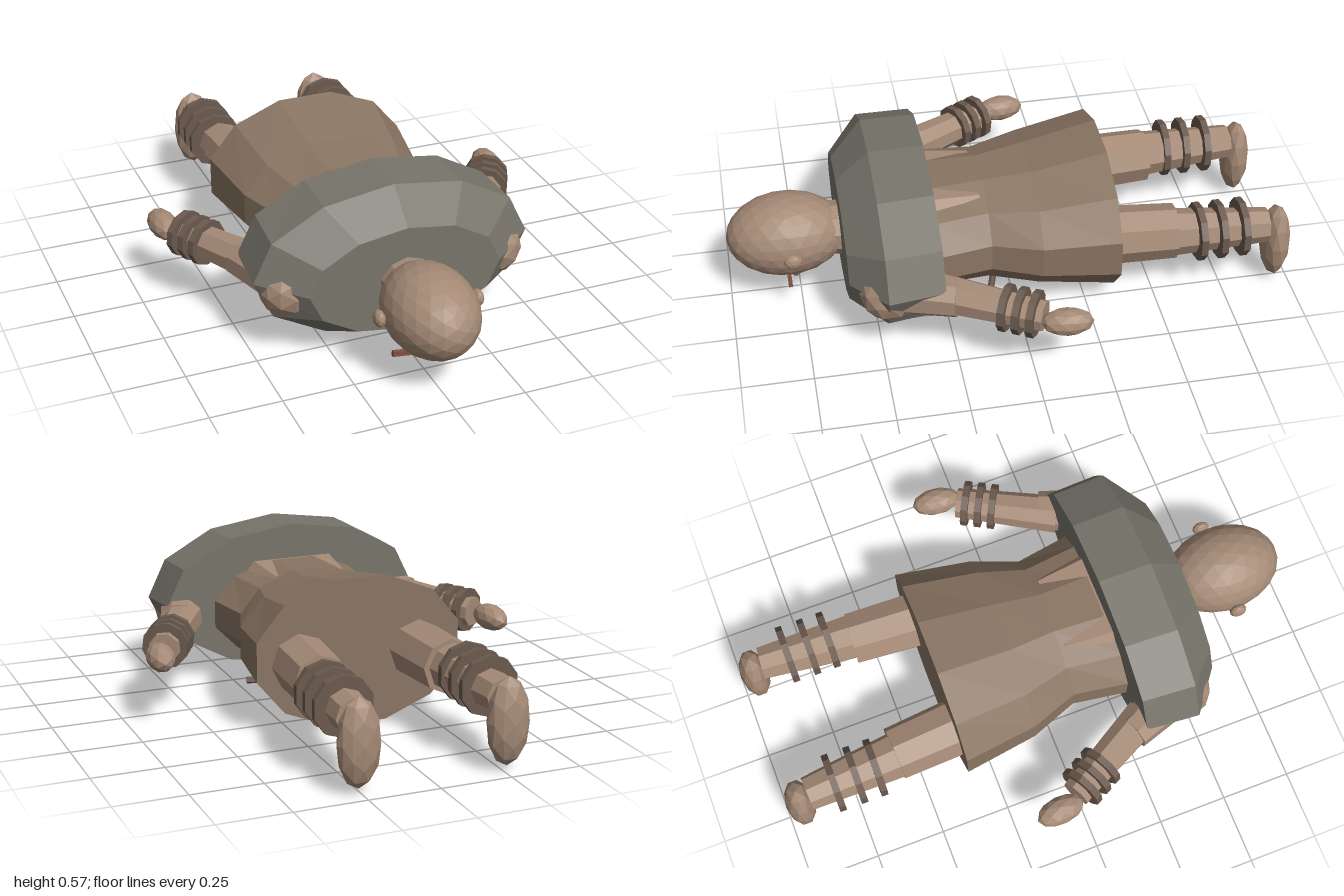
import * as THREE from 'three';

const mat = (color) => new THREE.MeshStandardMaterial({ color, flatShading: true });
const SKIN = mat(0xa58a76), TUNIC = mat(0x8a7563), SHAWL = mat(0x77746a);
const WRAP = mat(0x6b5a4e), FACE = mat(0x80503f);

function add(parent, name, geometry, material, position = [0, 0, 0]) {
  const mesh = new THREE.Mesh(geometry, material);
  mesh.name = name;
  mesh.position.set(...position);
  parent.add(mesh);
  return mesh;
}

// Faceted ellipsoid
function blob(parent, name, material, position, radii, detail = 1) {
  const mesh = add(parent, name, new THREE.IcosahedronGeometry(1, detail), material, position);
  mesh.scale.set(...radii);
  return mesh;
}

// Tapered cylinder between two points
function limb(parent, name, material, from, to, r0, r1, sides = 8) {
  const a = new THREE.Vector3(...from), b = new THREE.Vector3(...to);
  const dir = b.clone().sub(a);
  const geometry = new THREE.CylinderGeometry(r1, r0, dir.length(), sides);
  const mesh = add(parent, name, geometry, material, a.clone().add(b).multiplyScalar(0.5).toArray());
  mesh.quaternion.setFromUnitVectors(new THREE.Vector3(0, 1, 0), dir.normalize());
  return mesh;
}

// Closed loft through elliptical sections [z, centreY, rx, ry], in rising z
function loft(sections, sides, phase = 0) {
  const pos = [], index = [];
  for (const [z, cy, rx, ry] of sections) {
    for (let j = 0; j < sides; j++) {
      const t = phase + (j / sides) * Math.PI * 2;
      pos.push(rx * Math.cos(t), cy + ry * Math.sin(t), z);
    }
  }
  const last = sections.length - 1, low = pos.length / 3, high = low + 1;
  pos.push(0, sections[0][1], sections[0][0], 0, sections[last][1], sections[last][0]);
  for (let j = 0; j < sides; j++) {
    const k = (j + 1) % sides;
    for (let i = 0; i < last; i++) {
      const a = i * sides + j, b = i * sides + k;
      index.push(a, b, b + sides, a, b + sides, a + sides);
    }
    index.push(low, k, j, high, last * sides + j, last * sides + k);
  }
  const geometry = new THREE.BufferGeometry();
  geometry.setAttribute('position', new THREE.Float32BufferAttribute(pos, 3));
  geometry.setIndex(index);
  geometry.computeVertexNormals();
  return geometry;
}

function buildArm(side) {
  const arm = new THREE.Group();
  arm.name = side > 0 ? 'leftArm' : 'rightArm';
  const at = (x, y, z) => [side * x, y, z];
  blob(arm, 'shoulder', SKIN, at(0.38, 0.245, 0.47), [0.1, 0.1, 0.1]);
  limb(arm, 'upperArm', SKIN, at(0.37, 0.25, 0.47), at(0.46, 0.25, 0.24), 0.085, 0.07);
  limb(arm, 'forearm', SKIN, at(0.42, 0.25, 0.3), at(0.6, 0.245, -0.03), 0.07, 0.055);
  // Wrapped wrist bands
  const start = new THREE.Vector3(...at(0.53, 0.247, 0.1));
  const dir = new THREE.Vector3(side * 0.18, 0, -0.33).normalize();
  for (let i = 0; i < 3; i++) {
    const p = start.clone().addScaledVector(dir, i * 0.05);
    const q = p.clone().addScaledVector(dir, 0.025);
    limb(arm, 'wristBand', WRAP, p.toArray(), q.toArray(), 0.083, 0.083, 10);
  }
  const hand = blob(arm, 'hand', SKIN, at(0.635, 0.24, -0.1), [0.05, 0.048, 0.09]);
  hand.rotation.y = -side * 0.1;
  return arm;
}

function buildLeg(side) {
  const leg = new THREE.Group();
  leg.name = side > 0 ? 'leftLeg' : 'rightLeg';
  const at = (x, y, z) => [side * x, y, z];
  limb(leg, 'thigh', SKIN, at(0.215, 0.245, -0.3), at(0.232, 0.243, -0.575), 0.105, 0.098);
  limb(leg, 'shin', SKIN, at(0.238, 0.243, -0.55), at(0.26, 0.243, -0.91), 0.086, 0.062);
  for (const z of [-0.655, -0.73, -0.81]) {
    limb(leg, 'legBand', WRAP, at(0.257, 0.247, z + 0.012), at(0.257, 0.247, z - 0.012), 0.105, 0.105, 10);
  }
  blob(leg, 'foot', SKIN, at(0.26, 0.17, -0.945), [0.075, 0.152, 0.052]);
  return leg;
}

export function createModel() {
  const model = new THREE.Group();
  model.name = 'lyingFigure';

  // Head, with the face turned to the ground
  const head = new THREE.Group();
  head.name = 'headGroup';
  model.add(head);
  blob(head, 'head', SKIN, [0, 0.25, 0.785], [0.157, 0.147, 0.213], 3);
  limb(head, 'neck', SKIN, [0, 0.25, 0.5], [0, 0.25, 0.64], 0.1, 0.095, 10);
  blob(head, 'nose', SKIN, [0, 0.097, 0.755], [0.02, 0.025, 0.035]);
  add(head, 'mouth', new THREE.BoxGeometry(0.07, 0.012, 0.012), FACE, [0, 0.108, 0.69]);
  for (const side of [-1, 1]) {
    blob(head, 'ear', SKIN, [side * 0.175, 0.253, 0.775], [0.02, 0.03, 0.032]);
    const brow = add(head, 'brow', new THREE.BoxGeometry(0.07, 0.018, 0.014), FACE,
      [side * 0.098, 0.112, 0.79]);
    brow.rotation.z = side * 0.12;
    blob(head, 'eye', WRAP, [side * 0.07, 0.122, 0.765], [0.016, 0.014, 0.014]);
  }

  // Body, flared tunic and shoulder shawl
  add(model, 'torso', loft([
    [0.11, 0.25, 0.265, 0.2], [0.3, 0.25, 0.3, 0.217], [0.5, 0.25, 0.3, 0.2],
  ], 6), SKIN);
  add(model, 'tunic', loft([
    [-0.35, 0.26, 0.388, 0.27], [-0.08, 0.25, 0.348, 0.223],
    [0.09, 0.25, 0.283, 0.199], [0.3, 0.252, 0.318, 0.19], [0.45, 0.255, 0.32, 0.18],
  ], 12, Math.PI / 12), TUNIC);
  add(model, 'shawl', loft([
    [0.285, 0.298, 0.487, 0.267], [0.48, 0.286, 0.5, 0.276], [0.598, 0.263, 0.345, 0.193],
  ], 12), SHAWL);

  // Rod tucked at the belly, with its knot
  limb(model, 'beltRod', WRAP, [0.25, 0.045, 0.1], [-0.25, 0.035, -0.05], 0.012, 0.012, 6);
  blob(model, 'beltKnot', SHAWL, [0, 0.055, 0.08], [0.024, 0.024, 0.024]);

  for (const side of [-1, 1]) model.add(buildArm(side), buildLeg(side));
  return model;
}
